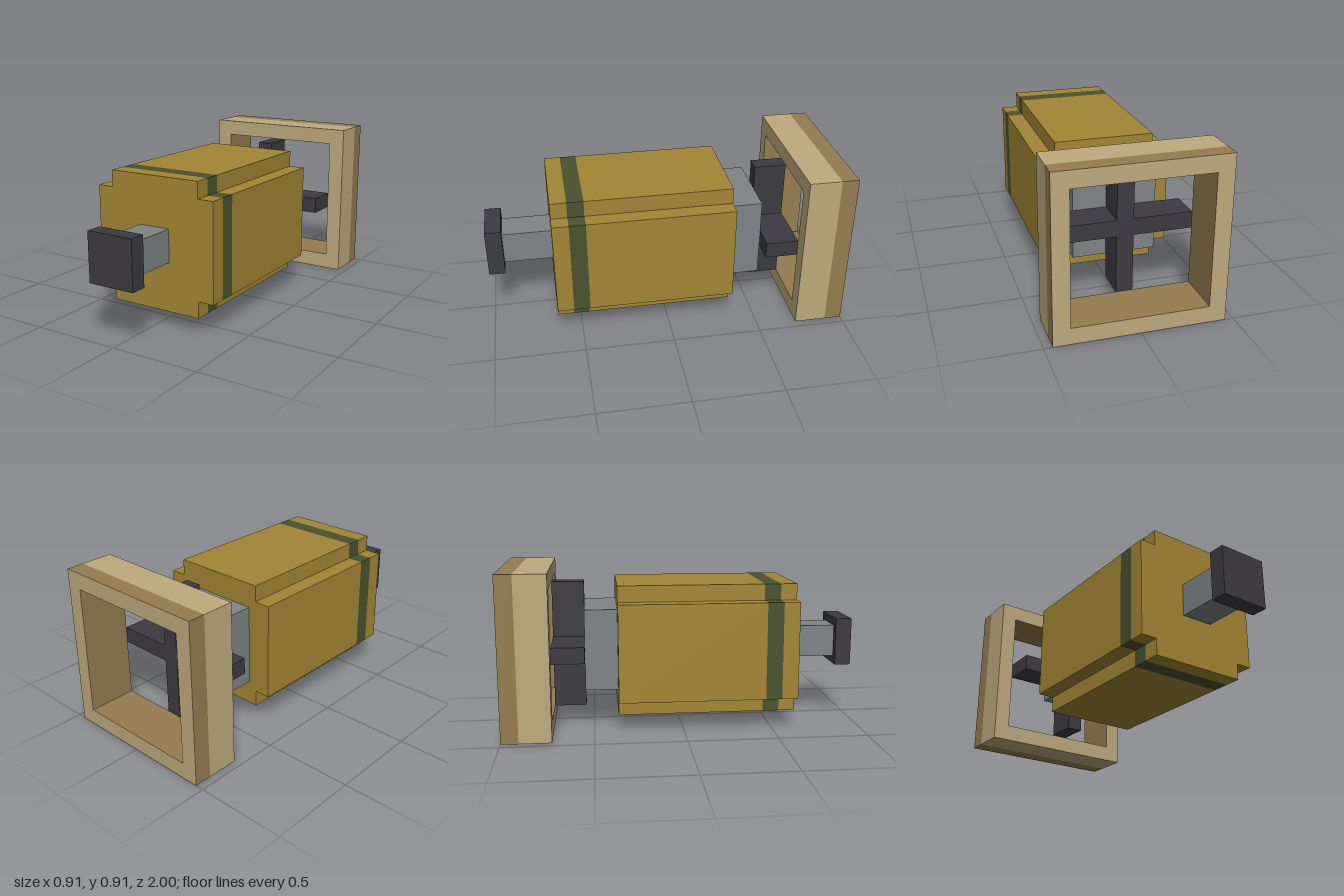
import * as THREE from 'three';

const U = 1 / 11; // modelling unit: the whole length is 22 units
const CY = 5 * U; // height of the central axis

const mat = (name, color) => {
  const m = new THREE.MeshStandardMaterial({ color });
  m.name = name;
  return m;
};

export function createModel() {
  const gold = mat('gold', 0xa38635);
  const green = mat('dark green', 0x4a522f);
  const steel = mat('steel grey', 0x808486);
  const dark = mat('charcoal', 0x3d3b41);
  const tan = mat('light tan', 0xbfaa7e);
  const brown = mat('tan brown', 0x967c50);

  const model = new THREE.Group();

  // Centred box between two z positions, all in units
  const box = (name, w, h, z0, z1, material) => {
    const mesh = new THREE.Mesh(new THREE.BoxGeometry(w * U, h * U, (z1 - z0) * U), material);
    mesh.position.set(0, CY, ((z0 + z1) / 2) * U);
    mesh.name = name;
    model.add(mesh);
  };

  // Shape extruded between two z positions, in units
  const extrude = (name, shape, z0, z1, material) => {
    const geo = new THREE.ExtrudeGeometry(shape, { depth: z1 - z0, bevelEnabled: false });
    geo.scale(U, U, U);
    const mesh = new THREE.Mesh(geo, material);
    mesh.position.set(0, CY, z0 * U);
    mesh.name = name;
    model.add(mesh);
  };

  const square = (r) => [[-r, -r], [r, -r], [r, r], [-r, r]].map(([x, y]) => new THREE.Vector2(x, y));
  const frame = (outer, inner) => {
    const s = new THREE.Shape(square(outer));
    s.holes.push(new THREE.Path(square(inner).reverse()));
    return s;
  };
  const plus = (r, a) => new THREE.Shape([
    [-a, -r], [a, -r], [a, -a], [r, -a], [r, a], [a, a],
    [a, r], [-a, r], [-a, a], [-r, a], [-r, -a], [-a, -a],
  ].map(([x, y]) => new THREE.Vector2(x, y)));

  // Notched body with a flush band
  const body = plus(4, 3);
  extrude('bodyRear', body, -4, 5, gold);
  extrude('bodyBand', body, 5, 6, green);
  extrude('bodyFront', body, 6, 7, gold);

  // Front shaft and end plate
  box('frontShaft', 2, 2, 7, 10, steel);
  box('frontPlate', 3, 3, 10, 11, dark);

  // Rear neck and cross-shaped spokes
  box('rearNeck', 5, 5, -6, -4, steel);
  extrude('rearSpokes', plus(4, 0.5), -8, -6, dark);

  // Square ring: light outside, brown rear edge and inner lining
  extrude('ringFront', frame(5, 4.05), -9.95, -8, tan);
  extrude('ringRearEdge', frame(5, 4.05), -11, -9.95, [tan, brown]);
  extrude('ringLining', frame(4.05, 4), -11, -8, [tan, brown]);

  return model;
}
